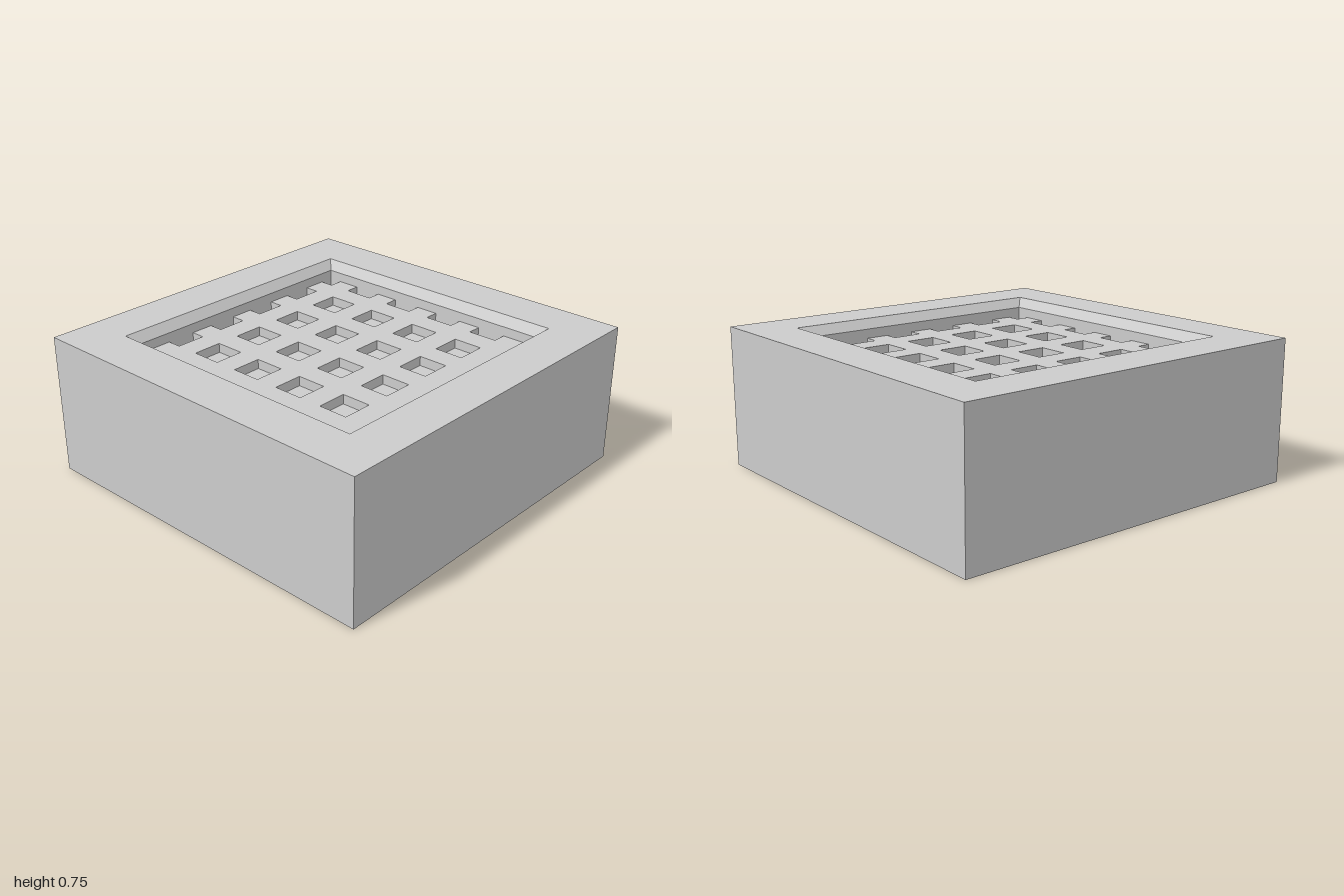
import * as THREE from 'three';

const PITCH = 2 / 7;             // spacing of the grate holes
const HOLE = 0.08;               // half width of a hole
const BAR = PITCH / 2 - HOLE;    // half width of a bar
const INNER = 0.71;              // half width of the recess
const FLOOR = 0.6, GRATE_TOP = 0.65, RIM = 0.75;

// Square block with a chamfered recess, turned as a four-sided profile
function blockGeometry() {
  const profile = [
    [0, 0], [1, 0], [1, RIM], [0.75, RIM], [INNER, 0.7], [INNER, FLOOR], [0, FLOOR],
  ].map(([half, y]) => new THREE.Vector2(half * Math.SQRT2, y));
  const geo = new THREE.LatheGeometry(profile, 4, Math.PI / 4).toNonIndexed();
  geo.computeVertexNormals();
  return geo;
}

// Lattice plate: square holes inside, half-cut holes along the edges
function grateGeometry() {
  const edge = 2 * PITCH + BAR;
  const outline = [];
  for (let side = 0; side < 4; side++) {
    const turn = side * Math.PI / 2;
    for (let i = -2; i <= 2; i++) {
      const c = i * PITCH;
      const tooth = [[c - BAR, -edge], [c - BAR, -INNER], [c + BAR, -INNER]];
      if (i < 2) tooth.push([c + BAR, -edge]); // last corner starts the next side
      for (const [x, y] of tooth) {
        outline.push(new THREE.Vector2(x, y).rotateAround(new THREE.Vector2(), turn));
      }
    }
  }
  const shape = new THREE.Shape(outline);
  for (let i = -1.5; i <= 1.5; i++) {
    for (let j = -1.5; j <= 1.5; j++) {
      const x = i * PITCH, y = j * PITCH;
      shape.holes.push(new THREE.Path([
        new THREE.Vector2(x - HOLE, y - HOLE), new THREE.Vector2(x - HOLE, y + HOLE),
        new THREE.Vector2(x + HOLE, y + HOLE), new THREE.Vector2(x + HOLE, y - HOLE),
      ]));
    }
  }
  const geo = new THREE.ExtrudeGeometry(shape, { depth: GRATE_TOP - FLOOR, bevelEnabled: false });
  return geo.rotateX(-Math.PI / 2).translate(0, FLOOR, 0);
}

export function createModel() {
  const group = new THREE.Group();
  group.name = 'gratedBlock';
  const material = new THREE.MeshStandardMaterial({ color: 0xcccccc, flatShading: true });
  const add = (name, geometry) => {
    const mesh = new THREE.Mesh(geometry, material);
    mesh.name = name;
    group.add(mesh);
  };
  add('block', blockGeometry());
  add('grate', grateGeometry());
  return group;
}
